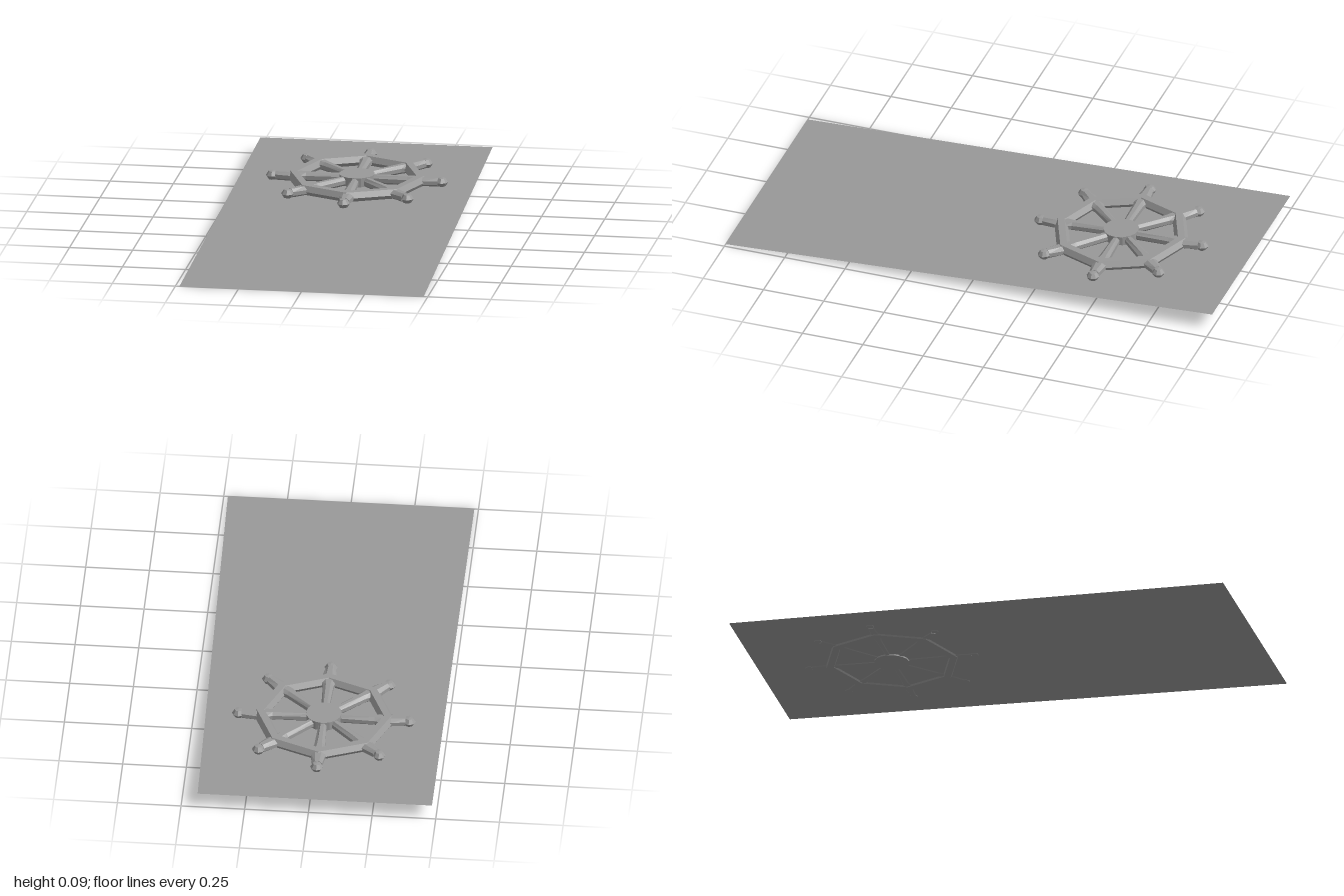
import * as THREE from 'three';

export function createModel() {
  const model = new THREE.Group();
  model.name = 'wheelOnPanel';
  const material = new THREE.MeshStandardMaterial({ color: 0x999999, flatShading: true });
  const sheetMaterial = new THREE.MeshStandardMaterial({ color: 0x999999, side: THREE.DoubleSide });

  const add = (parent, name, geometry, mat = material) => {
    const mesh = new THREE.Mesh(geometry, mat);
    mesh.name = name;
    parent.add(mesh);
    return mesh;
  };
  const points = (pairs) => pairs.map(([r, t]) => new THREE.Vector2(r, t));

  // Thin sloping panel, slightly narrower at the back right
  const panel = new THREE.BufferGeometry();
  panel.setAttribute('position', new THREE.Float32BufferAttribute([
    -0.484, 0, 1, 0.484, 0, 1, 0.435, 0.065, -1, -0.485, 0.065, -1,
  ], 3));
  panel.setIndex([0, 1, 2, 0, 2, 3]);
  panel.computeVertexNormals();
  add(model, 'panel', panel, sheetMaterial);

  // Wheel lying half sunk in the panel, tilted to match its slope
  const wheel = new THREE.Group();
  wheel.name = 'wheel';
  wheel.position.set(-0.016, 0.063, -0.465);
  wheel.rotation.x = Math.atan(0.0325);
  model.add(wheel);

  // Octagonal rim with a flattened six-sided section, corners at the spokes
  const rim = new THREE.TorusGeometry(0.25, 0.029, 6, 8);
  rim.rotateX(-Math.PI / 2);
  rim.scale(1, 0.86, 1);
  add(wheel, 'rim', rim);

  // Central hub
  add(wheel, 'hub', new THREE.CylinderGeometry(0.07, 0.07, 0.042, 16));

  // Spokes of even height that widen towards the rim, then narrow
  const spoke = new THREE.LatheGeometry(points([
    [0.016, 0.04], [0.023, 0.2], [0.031, 0.225], [0.031, 0.265], [0.021, 0.322], [0, 0.322],
  ]), 8, Math.PI / 8);
  spoke.rotateZ(-Math.PI / 2);
  const position = spoke.attributes.position;
  for (let i = 0; i < position.count; i++) {
    const radius = Math.hypot(position.getY(i), position.getZ(i));
    if (radius > 0.001) position.setY(i, position.getY(i) * 0.02 / radius);
  }

  // Flattened faceted knobs at the tips
  const knob = new THREE.LatheGeometry(points([
    [0, -0.019], [0.015, -0.017], [0.026, 0], [0.015, 0.017], [0, 0.019],
  ]), 8);
  knob.translate(0.335, 0, 0);

  for (let i = 0; i < 8; i++) {
    const arm = new THREE.Group();
    arm.name = 'arm' + (i + 1);
    arm.rotation.y = (i * Math.PI) / 4;
    add(arm, 'spoke', spoke);
    add(arm, 'knob', knob);
    wheel.add(arm);
  }

  return model;
}
